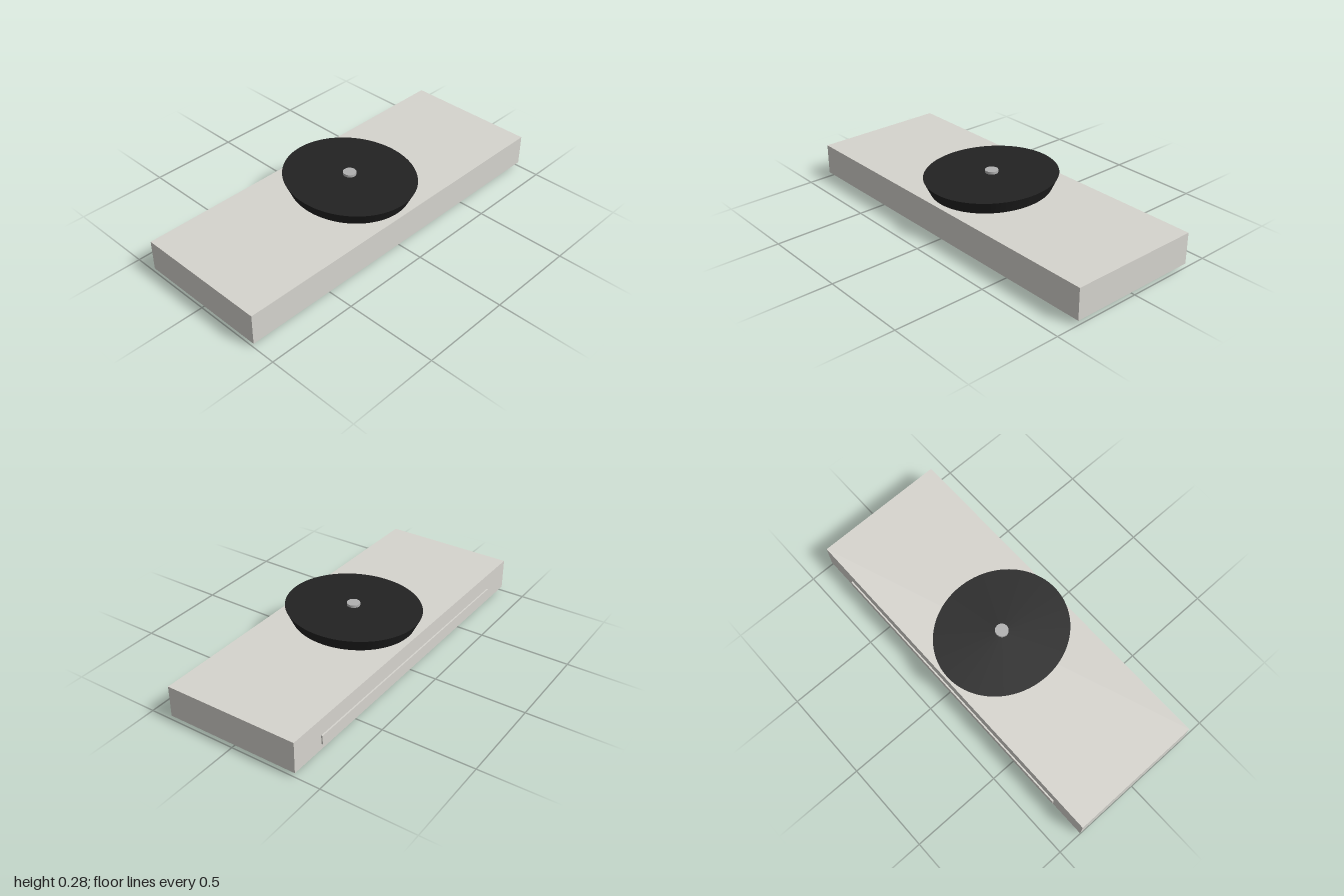
import * as THREE from 'three';

const material = (color) => new THREE.MeshStandardMaterial({ color });

export function createModel() {
  const model = new THREE.Group();
  const shell = material(0xd6d4ce);
  const dark = material(0x222222);
  const metal = material(0xb0b0b0);

  const add = (name, geometry, mat, x, y, z) => {
    const mesh = new THREE.Mesh(geometry, mat);
    mesh.name = name;
    mesh.position.set(x, y, z);
    model.add(mesh);
    return mesh;
  };

  // Main slab, with a thin raised strip along the back
  add('body', new THREE.BoxGeometry(2, 0.17, 0.738), shell, 0, 0.109, 0.004);
  add('backStrip', new THREE.BoxGeometry(1.6, 0.048, 0.012), shell, 0, 0.08, -0.367);

  // Two runner feet under the rear half
  for (const side of [-1, 1]) {
    add(side > 0 ? 'leftFoot' : 'rightFoot',
      new THREE.BoxGeometry(0.065, 0.026, 0.315), shell, side * 0.682, 0.013, -0.17);
  }

  // Oval flared platter
  const platter = add('platter', new THREE.CylinderGeometry(1, 0.908, 0.07, 96), dark, 0, 0.229, 0.004);
  platter.scale.set(0.332, 1, 0.369);

  // Small disc hovering just above the platter
  add('centreDisc', new THREE.CylinderGeometry(0.035, 0.035, 0.014, 48), metal, 0, 0.278, 0.004);

  return model;
}
